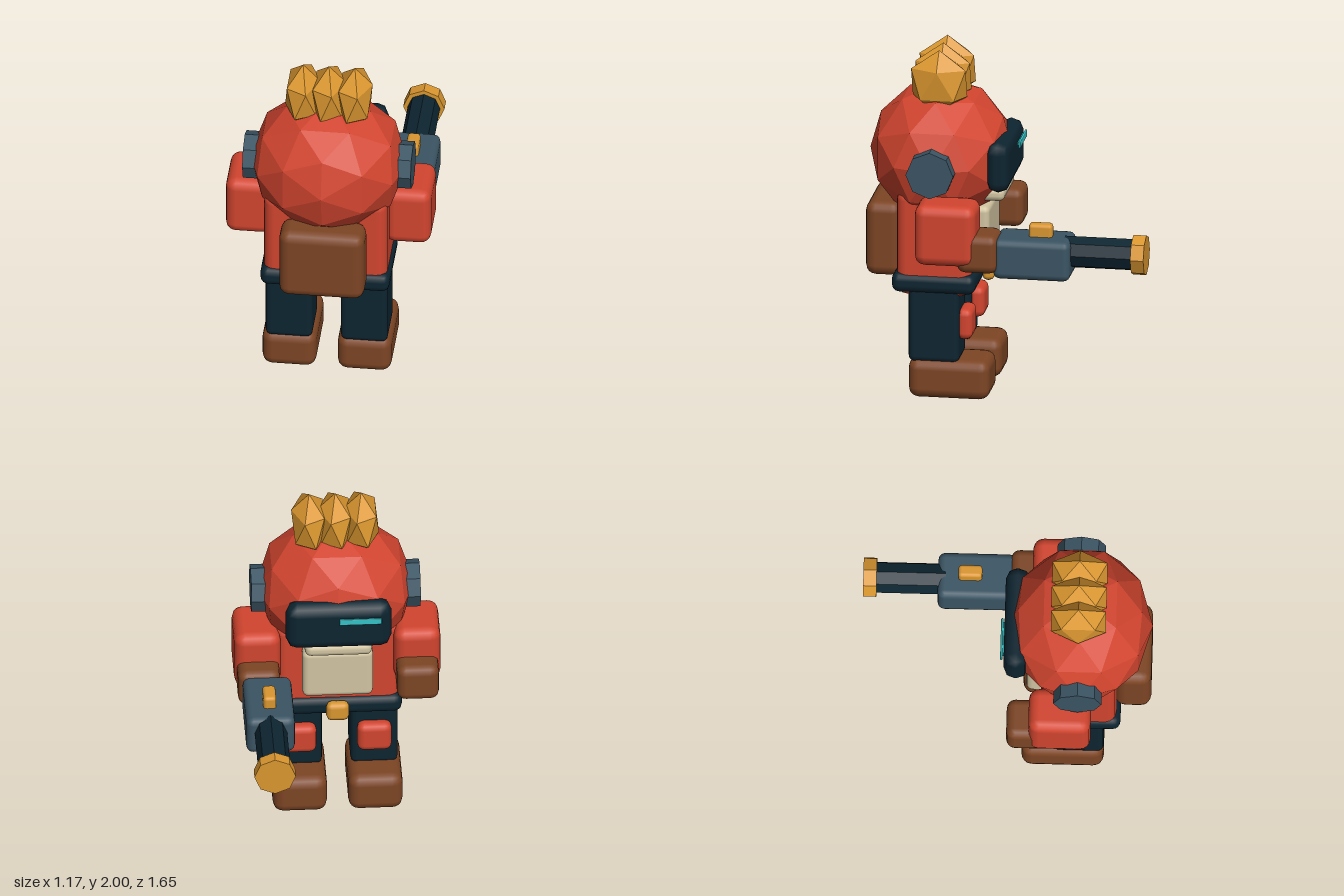
import * as THREE from 'three';
import { RoundedBoxGeometry } from 'three/addons/geometries/RoundedBoxGeometry.js';

const paint = (name, color) => {
  const m = new THREE.MeshStandardMaterial({ color });
  m.name = name;
  return m;
};

export function createModel() {
  const red = paint('red', 0xd2452f);
  const brown = paint('brown', 0x7d4524);
  const navy = paint('navy', 0x0d2531);
  const steel = paint('steel', 0x3b5564);
  const gold = paint('gold', 0xdb9730);
  const cream = paint('cream', 0xd2c5a2);
  const cyan = paint('cyan', 0x35c4c8);
  const root = new THREE.Group();
  root.name = 'figure';

  const add = (name, geometry, material, parent = root) => {
    const mesh = new THREE.Mesh(geometry, material);
    mesh.name = name;
    parent.add(mesh);
    return mesh;
  };

  // Rounded block given by its limits on each axis
  const block = (name, material, [x0, x1], [y0, y1], [z0, z1], radius, segments = 2) => {
    const g = new RoundedBoxGeometry(x1 - x0, y1 - y0, z1 - z0, segments, radius);
    g.translate((x0 + x1) / 2, (y0 + y1) / 2, (z0 + z1) / 2);
    return add(name, g, material);
  };

  // Same block on both sides of the body
  const pair = (name, material, [x0, x1], y, z, radius) => {
    block('left' + name, material, [x0, x1], y, z, radius);
    block('right' + name, material, [-x1, -x0], y, z, radius);
  };

  // Faceted geometry
  const facet = (g) => {
    const flat = g.index ? g.toNonIndexed() : g;
    flat.computeVertexNormals();
    return flat;
  };

  // Octagonal cylinder along x or z
  const octagon = (name, material, radius, length, axis, x, y, z) => {
    const g = new THREE.CylinderGeometry(radius, radius, length, 8);
    if (axis === 'x') g.rotateZ(Math.PI / 2);
    else g.rotateX(Math.PI / 2);
    g.translate(x, y, z);
    return add(name, facet(g), material);
  };

  // Boots, legs and knee pads
  pair('Boot', brown, [0.06, 0.367], [0, 0.23], [0.085, 0.55], 0.06);
  pair('Leg', navy, [0.08, 0.347], [0.21, 0.66], [0.26, 0.55], 0.035);
  pair('KneePad', red, [0.115, 0.31], [0.34, 0.52], [0.19, 0.28], 0.04);

  // Body
  block('torso', red, [-0.35, 0.35], [0.6, 1.22], [0.195, 0.62], 0.06);
  block('bellyPlate', cream, [-0.2, 0.2], [0.79, 1.1], [0.11, 0.22], 0.035);
  block('belt', navy, [-0.367, 0.367], [0.62, 0.735], [0.167, 0.645], 0.045);
  block('buckle', gold, [-0.065, 0.065], [0.62, 0.735], [0.105, 0.175], 0.03, 1);
  block('backpack', brown, [-0.242, 0.242], [0.672, 1.107], [0.61, 0.815], 0.06);

  // Arms
  pair('UpperArm', red, [0.32, 0.583], [0.85, 1.207], [0.13, 0.48], 0.06);
  pair('Hand', brown, [0.33, 0.568], [0.815, 1.04], [0.005, 0.24], 0.05);

  // Arm cannon
  block('cannonBody', steel, [0.27, 0.545], [0.785, 1.018], [-0.405, 0.035], 0.04);
  octagon('cannonBarrel', navy, 0.092, 0.42, 'z', 0.407, 0.932, -0.57);
  octagon('cannonMuzzle', gold, 0.117, 0.075, 'z', 0.407, 0.932, -0.788);
  block('cannonSight', gold, [0.37, 0.443], [1.0, 1.09], [-0.29, -0.155], 0.02);

  // Faceted helmet
  const helmet = new THREE.IcosahedronGeometry(1, 1);
  helmet.scale(0.45, 0.41, 0.41).translate(0, 1.365, 0.41);
  add('helmet', facet(helmet), red);
  for (const s of [1, -1]) {
    octagon(s > 0 ? 'leftEarDisc' : 'rightEarDisc', steel, 0.136, 0.08, 'x', s * 0.438, 1.358, 0.405);
  }

  // Face
  block('visor', navy, [-0.3, 0.3], [1.205, 1.5], [-0.017, 0.12], 0.065, 1);
  block('visorLight', cyan, [-0.24, 0], [1.395, 1.435], [-0.037, -0.024], 0.005, 1);
  block('visorLightMount', cyan, [-0.22, -0.02], [1.405, 1.425], [-0.028, -0.015], 0.004, 1);
  block('chinGuard', cream, [-0.19, 0.19], [1.13, 1.21], [0.025, 0.2], 0.035);

  // Crest of three faceted spikes, each standing on a vertex
  const tilt = Math.atan(2 / (1 + Math.sqrt(5)));
  const crest = new THREE.Group();
  crest.name = 'crest';
  root.add(crest);
  for (const x of [-0.147, 0, 0.147]) {
    const g = new THREE.IcosahedronGeometry(1, 0);
    g.rotateZ(-tilt).scale(0.113, 0.19, 0.183).translate(x, 1.81, 0.403);
    add('crestSpike', facet(g), gold, crest);
  }

  return root;
}
